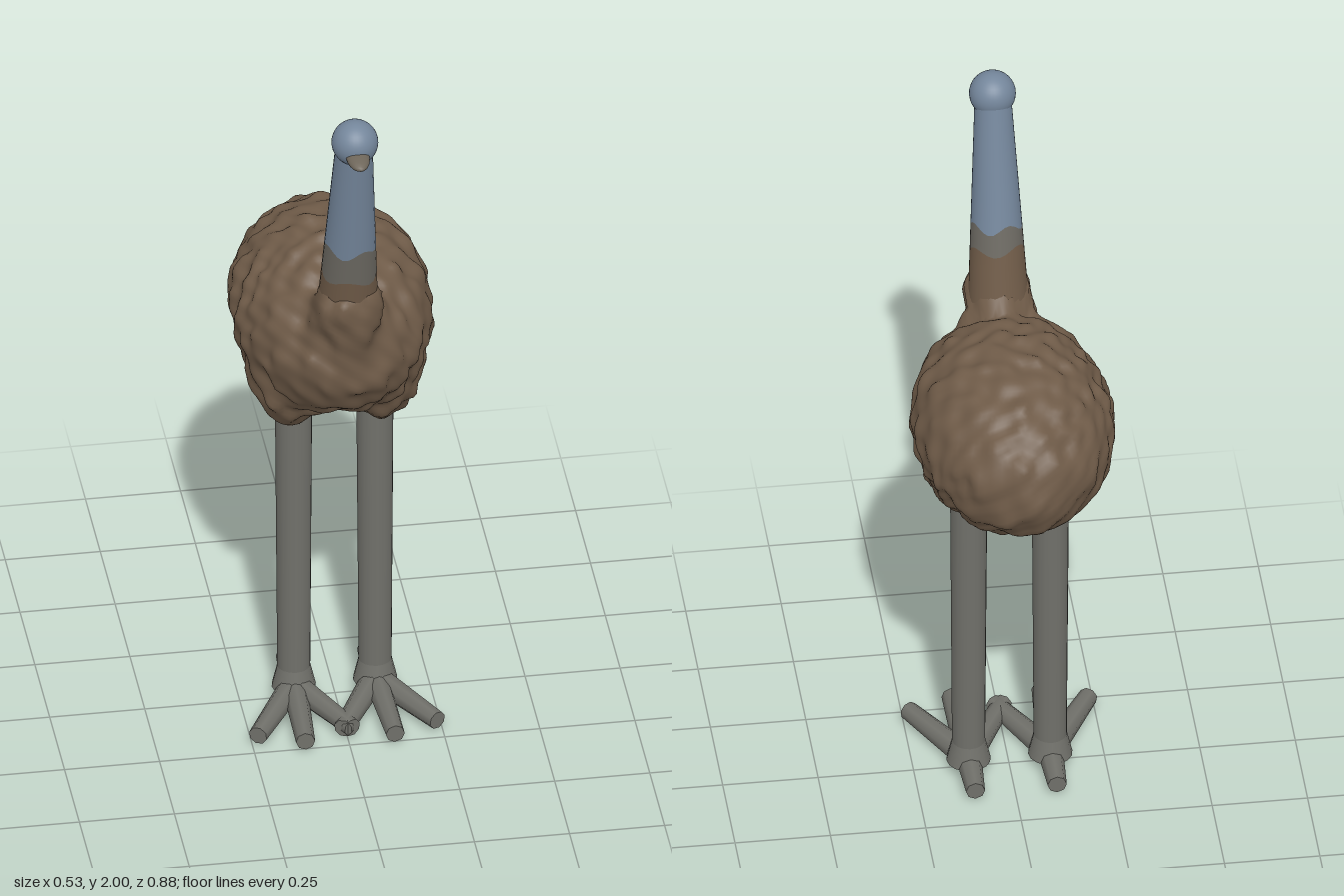
import * as THREE from 'three';
import { mergeVertices } from 'three/addons/utils/BufferGeometryUtils.js';

const V = (x, y, z) => new THREE.Vector3(x, y, z);

// Approximate signed distances used to shape the plumage
function ellipsoid(p, c, r) {
  const q = p.clone().sub(c).divide(r);
  const k0 = q.length();
  return k0 * (k0 - 1) / Math.max(q.divide(r).length(), 1e-6);
}
function capsule(p, a, b, r) {
  return new THREE.Line3(a, b).closestPointToPoint(p, true, V(0, 0, 0)).distanceTo(p) - r;
}
function blend(a, b, k) {
  const h = Math.max(k - Math.abs(a - b), 0) / k;
  return Math.min(a, b) - h * h * k / 4;
}
function plumage(p) {
  let d = ellipsoid(p, V(0, 1.17, -0.075), V(0.26, 0.245, 0.355));
  for (const s of [-1, 1]) // thighs
    d = blend(d, ellipsoid(p, V(s * 0.125, 1.0, 0), V(0.085, 0.13, 0.11)), 0.08);
  d = blend(d, capsule(p, V(0, 1.17, 0.185), V(0, 1.37, 0.23), 0.088), 0.05); // neck base
  const lumps = Math.sin(52 * p.x + 3 * Math.sin(21 * p.z)) * Math.sin(47 * p.z + 2 * Math.sin(19 * p.y))
    + Math.sin(34 * p.y + 25 * p.x + 1.3) * Math.sin(71 * p.z - 18 * p.x)
    + 0.6 * Math.sin(83 * p.x + 40 * p.y) * Math.sin(60 * p.y - 35 * p.z);
  return d - 0.0055 * lumps;
}

// Sphere whose points are pushed out to the plumage surface
function bodyGeometry() {
  let g = new THREE.IcosahedronGeometry(1, 28);
  g.deleteAttribute('uv');
  g.deleteAttribute('normal');
  g = mergeVertices(g, 1e-4);
  const pos = g.attributes.position, centre = V(0, 1.17, -0.02);
  for (let i = 0; i < pos.count; i++) {
    const dir = V(0, 0, 0).fromBufferAttribute(pos, i).normalize();
    let lo = 0, hi = 0.65;
    for (let n = 0; n < 16; n++) {
      const mid = (lo + hi) / 2;
      if (plumage(centre.clone().addScaledVector(dir, mid)) < 0) lo = mid; else hi = mid;
    }
    const p = centre.clone().addScaledVector(dir, lo);
    pos.setXYZ(i, p.x, p.y, p.z);
  }
  g.computeVertexNormals();
  return g;
}

// Neck section between two heights, which may vary around the neck
function neckSection(low, high) {
  const g = new THREE.CylinderGeometry(1, 1, 1, 28, 4, true);
  const pos = g.attributes.position;
  for (let i = 0; i < pos.count; i++) {
    const x = pos.getX(i), z = pos.getZ(i), a = Math.atan2(x, z);
    const y = THREE.MathUtils.lerp(low(a), high(a), pos.getY(i) + 0.5);
    const t = (y - 1.4) / 0.53;
    const r = THREE.MathUtils.lerp(0.077, 0.048, t);
    pos.setXYZ(i, x * r, y, 0.222 + 0.103 * t + z * r);
  }
  g.computeVertexNormals();
  return g;
}

// Tapered limb between two points
function limb(a, b, ra, rb, sides) {
  const dir = b.clone().sub(a);
  const g = new THREE.CylinderGeometry(rb, ra, dir.length(), sides);
  g.applyQuaternion(new THREE.Quaternion().setFromUnitVectors(V(0, 1, 0), dir.clone().normalize()));
  const m = a.clone().add(b).multiplyScalar(0.5);
  return g.translate(m.x, m.y, m.z);
}

export function createModel() {
  const material = (name, color) => {
    const m = new THREE.MeshStandardMaterial({ color });
    m.name = name;
    return m;
  };
  const brown = material('brown feathers', 0x6f5b48);
  const band = material('grey brown down', 0x6c6962);
  const blue = material('blue grey skin', 0x74869b);
  const grey = material('leg grey', 0x70706a);
  const horn = material('beak horn', 0x6e665a);

  const model = new THREE.Group();
  const add = (name, geometry, mat, parent = model) => {
    const mesh = new THREE.Mesh(geometry, mat);
    mesh.name = name;
    parent.add(mesh);
    return mesh;
  };

  add('body', bodyGeometry(), brown);

  // Neck with wavy colour borders
  const edge1 = a => 1.5 - 0.035 * Math.cos(a) + 0.015 * Math.sin(3 * a + 2);
  const edge2 = a => 1.58 - 0.012 * Math.cos(a) + 0.012 * Math.sin(4 * a);
  add('neckFeathers', neckSection(() => 1.34, edge1), brown);
  add('neckBand', neckSection(edge1, edge2), band);
  add('neck', neckSection(edge2, () => 1.93), blue);

  // Head and beak
  add('head', new THREE.SphereGeometry(0.061, 32, 20).translate(0, 1.939, 0.336), blue);
  const beak = add('beak', new THREE.SphereGeometry(1, 20, 12), horn);
  beak.scale.set(0.031, 0.017, 0.062);
  beak.position.set(0, 1.923, 0.382);
  beak.rotation.x = 0.06;

  // Legs and four-toed feet
  for (const s of [-1, 1]) {
    const leg = new THREE.Group();
    leg.name = s > 0 ? 'leftLeg' : 'rightLeg';
    model.add(leg);
    add('shank', limb(V(s * 0.107, 0.03, -0.008), V(s * 0.107, 0.95, -0.012), 0.043, 0.049, 16), grey, leg);
    add('ankle', limb(V(s * 0.107, 0.035, -0.008), V(s * 0.107, 0.1, -0.008), 0.058, 0.043, 16), grey, leg);
    const toes = {
      outerToe: [0.236, 0.216],
      middleToe: [0.118, 0.262],
      innerToe: [-0.012, 0.216],
      backToe: [0.107, -0.15],
    };
    for (const [name, [x, z]] of Object.entries(toes))
      add(name, limb(V(s * 0.107, 0.038, -0.008), V(s * x, 0.035, z), 0.034, 0.025, 8), grey, leg);
  }
  return model;
}
